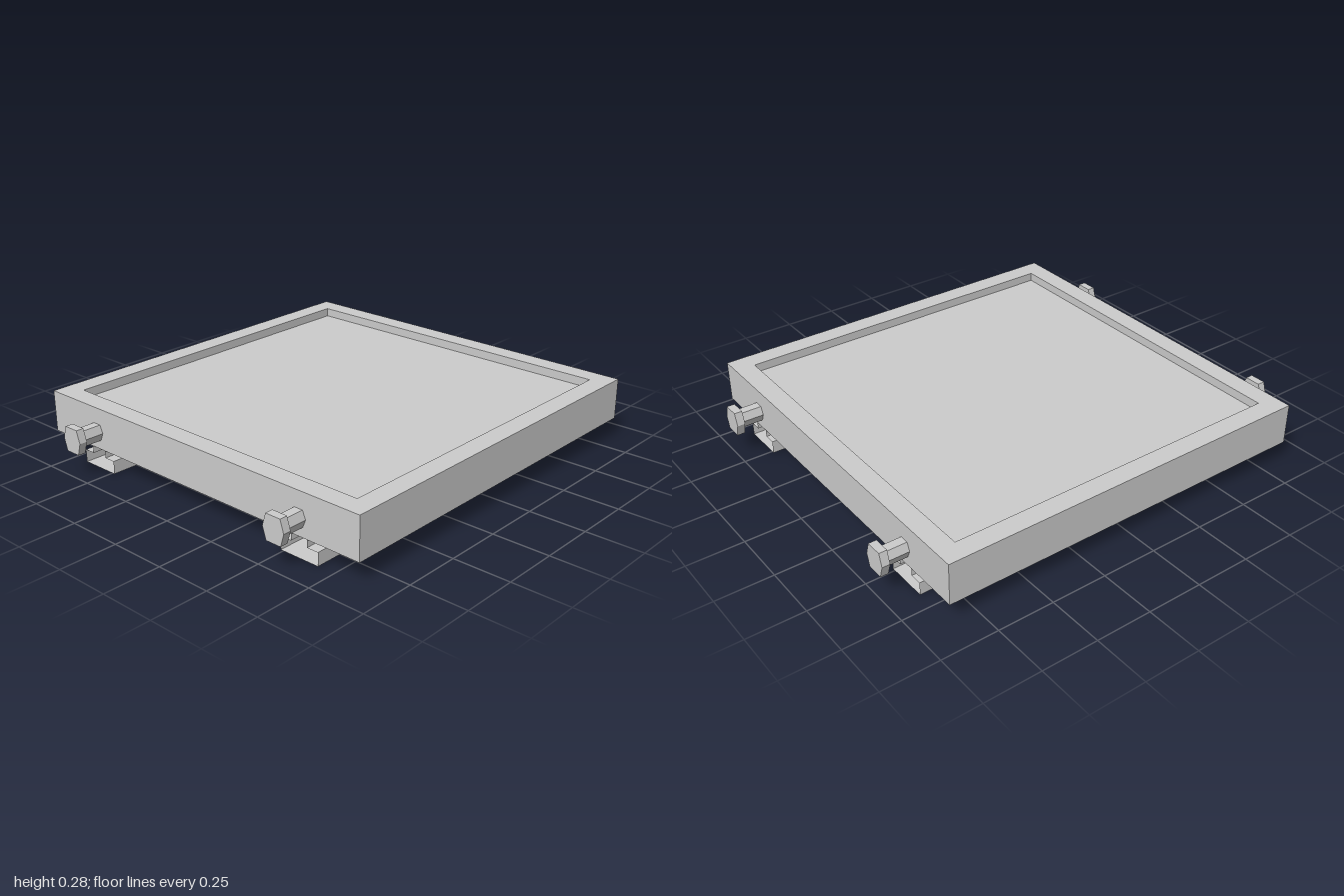
import * as THREE from 'three';

const material = new THREE.MeshStandardMaterial({ color: 0xcccccc, flatShading: true });
const sheet = new THREE.MeshStandardMaterial({ color: 0xcccccc, flatShading: true, side: THREE.DoubleSide });

const HALF = 0.87;      // tray half width
const INNER = 0.78;     // recess half width
const BOTTOM = 0.09, FLOOR = 0.236, TOP = 0.275;
const RAIL_X = 0.58, BOLT_Y = 0.167;

function add(parent, name, geometry, mat = material) {
  const mesh = new THREE.Mesh(geometry, mat);
  mesh.name = name;
  parent.add(mesh);
  return mesh;
}

function square(Type, h) {
  const s = new Type();
  s.moveTo(-h, -h);
  s.lineTo(h, -h);
  s.lineTo(h, h);
  s.lineTo(-h, h);
  s.closePath();
  return s;
}

// Hexagonal prism along +z, with flat top and bottom
function hexPrism(halfW, flatHalf, halfH, z0, z1) {
  const shape = new THREE.Shape([
    [halfW, 0], [flatHalf, halfH], [-flatHalf, halfH],
    [-halfW, 0], [-flatHalf, -halfH], [flatHalf, -halfH],
  ].map(([x, y]) => new THREE.Vector2(x, y)));
  return new THREE.ExtrudeGeometry(shape, { depth: z1 - z0, bevelEnabled: false }).translate(0, 0, z0);
}

// Thin profile swept along z, with open ends
function openSweep(profile, halfLength) {
  const positions = [];
  const index = [];
  profile.forEach(([x, y], i) => {
    positions.push(x, y, halfLength, x, y, -halfLength);
    if (i > 0) {
      const a = 2 * (i - 1);
      index.push(a, a + 2, a + 1, a + 1, a + 2, a + 3);
    }
  });
  const g = new THREE.BufferGeometry();
  g.setAttribute('position', new THREE.Float32BufferAttribute(positions, 3));
  g.setIndex(index);
  const flat = g.toNonIndexed();
  flat.computeVertexNormals();
  return flat;
}

export function createModel() {
  const model = new THREE.Group();
  model.name = 'trayOnRails';

  // Tray: solid base with a raised rim around the shallow recess
  const tray = new THREE.Group();
  tray.name = 'tray';
  model.add(tray);
  const rimShape = square(THREE.Shape, HALF);
  rimShape.holes.push(square(THREE.Path, INNER));
  add(tray, 'rim', new THREE.ExtrudeGeometry(rimShape, { depth: TOP - BOTTOM, bevelEnabled: false })
    .rotateX(-Math.PI / 2).translate(0, BOTTOM, 0));
  add(tray, 'floor', new THREE.BoxGeometry(2 * INNER, FLOOR - BOTTOM, 2 * INNER))
    .position.y = (FLOOR + BOTTOM) / 2;

  // Hollow rails under the tray: wide flange below, narrow neck above
  const flange = 0.093, neck = 0.04, shelf = 0.057;
  const profile = [
    [-neck, BOTTOM], [-neck, shelf], [-flange, shelf], [-flange, 0],
    [flange, 0], [flange, shelf], [neck, shelf], [neck, BOTTOM],
  ];
  for (const side of [-1, 1]) {
    const label = side > 0 ? 'left' : 'right';
    add(model, label + 'Rail', openSweep(profile, HALF), sheet).position.x = side * RAIL_X;

    // Hexagonal bolts at both ends
    for (const end of [1, -1]) {
      const bolt = new THREE.Group();
      bolt.name = label + (end > 0 ? 'Front' : 'Back') + 'Bolt';
      bolt.position.set(side * RAIL_X, BOLT_Y, 0);
      bolt.rotation.y = end > 0 ? 0 : Math.PI;
      add(bolt, 'shaft', hexPrism(0.035, 0.02, 0.035, HALF - 0.01, 0.97));
      add(bolt, 'head', hexPrism(0.053, 0.036, 0.055, 0.965, 1));
      model.add(bolt);
    }
  }
  return model;
}
